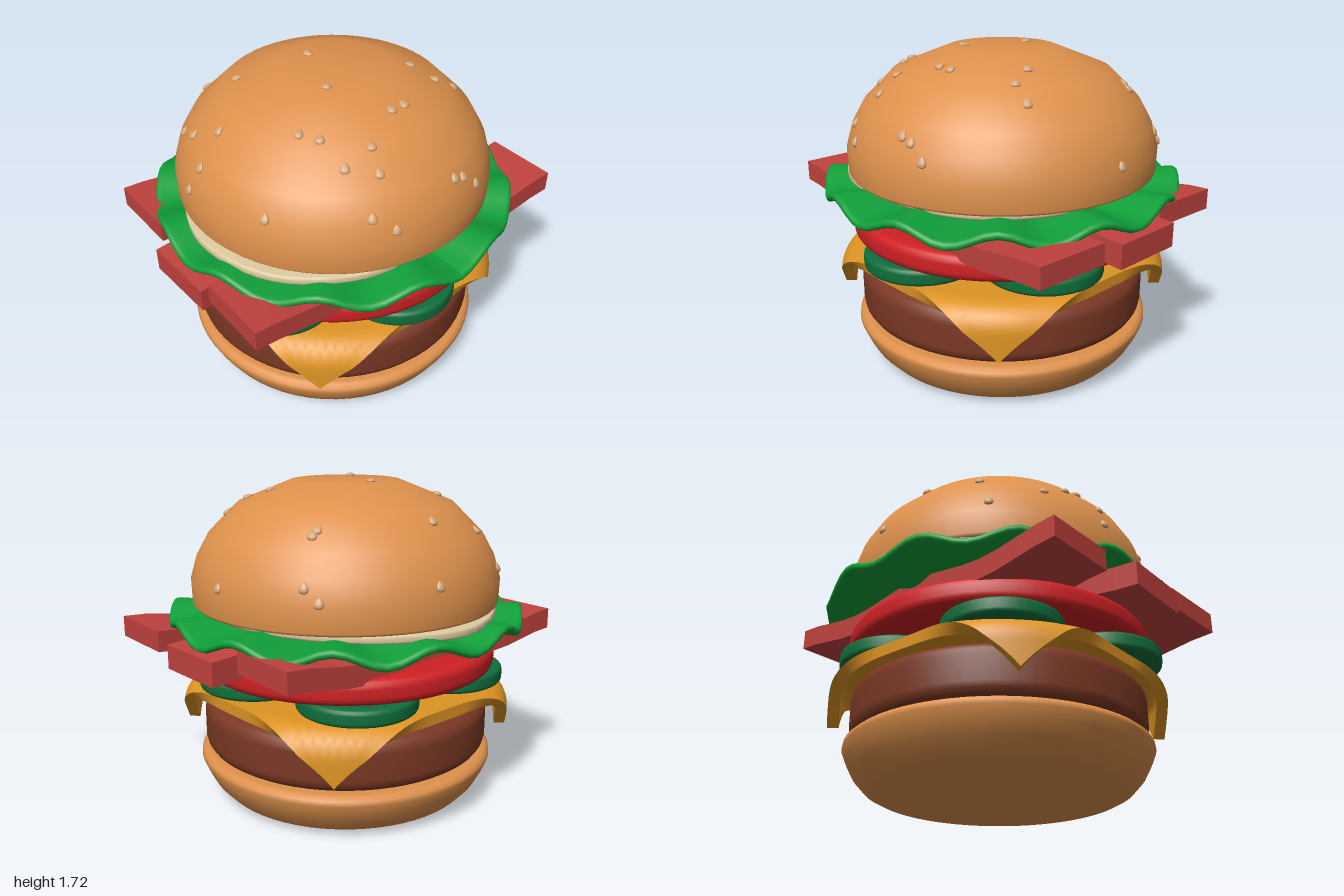
import * as THREE from 'three';
import { toCreasedNormals } from 'three/addons/utils/BufferGeometryUtils.js';

const mat = (name, color) => {
  const m = new THREE.MeshStandardMaterial({ color });
  m.name = name;
  return m;
};
const lathe = (pts, seg = 64) =>
  new THREE.LatheGeometry(pts.map(([x, y]) => new THREE.Vector2(x, y)), seg);

// Flat disc with a rounded rim; extra points next to the rim keep the faces flat
function roundDisc(r, y0, y1, bevel, seg = 64) {
  const b = Math.min(bevel, (y1 - y0) / 2), pts = [[0, y0], [r - b - 0.02, y0]];
  for (let i = 0; i <= 4; i++) {
    const a = (i / 4) * Math.PI / 2;
    pts.push([r - b + b * Math.sin(a), y0 + b - b * Math.cos(a)]);
  }
  for (let i = 0; i <= 4; i++) {
    const a = (i / 4) * Math.PI / 2;
    const p = [r - b + b * Math.cos(a), y1 - b + b * Math.sin(a)];
    if (i > 0 || y1 - y0 > 2 * b + 1e-4) pts.push(p);
  }
  pts.push([r - b - 0.02, y1], [0, y1]);
  return lathe(pts, seg);
}

// Move every vertex of a geometry by a rule
function deform(geo, rule) {
  const p = geo.attributes.position, v = new THREE.Vector3();
  for (let i = 0; i < p.count; i++) {
    rule(v.fromBufferAttribute(p, i));
    p.setXYZ(i, v.x, v.y, v.z);
  }
  geo.computeVertexNormals();
  return geo;
}

const DOME = [[0.83, 1.2], [0.795, 1.32], [0.73, 1.435], [0.575, 1.59], [0.29, 1.705], [0, 1.705]];

// Height and slope of the dome at a given radius
function domeAt(r) {
  for (let i = 0; i < DOME.length - 1; i++) {
    const [r0, y0] = DOME[i], [r1, y1] = DOME[i + 1];
    if (r >= r1) {
      const t = (r - r0) / (r1 - r0);
      return { y: y0 + t * (y1 - y0), dr: r0 - r1, dy: y1 - y0 };
    }
  }
}

// Sesame seeds as x, z pairs on the dome
const SEEDS = [
  [-0.47, -0.66], [-0.36, -0.6], [-0.01, -0.62], [0.12, -0.8], [0.63, -0.53], [0.66, -0.46],
  [0.51, -0.38], [0.54, -0.38], [-0.63, -0.42], [-0.35, -0.33], [-0.66, -0.28], [-0.01, -0.18],
  [-0.62, -0.11], [-0.8, -0.14], [-0.75, -0.1], [-0.15, 0.13], [0.36, 0.18], [0.41, 0.31],
  [0.52, 0.34], [-0.43, 0.26], [-0.38, 0.35], [-0.71, 0.35], [0, 0.42], [0.08, 0.42],
  [-0.37, 0.51], [-0.22, 0.52], [-0.25, 0.61], [-0.36, 0.69], [-0.27, 0.76], [0.11, 0.75],
  [0.17, 0.75], [0.26, 0.76], [0.82, 0],
];

export function createModel() {
  const group = new THREE.Group();
  const bun = mat('toasted bun', 0xde914c);
  const seedMat = mat('sesame', 0xd6a577);
  const meat = mat('grilled meat', 0x7a3824);
  const cheeseMat = mat('cheese', 0xde9424);
  const pickleMat = mat('pickle green', 0x0f6e3c);
  const tomatoMat = mat('tomato red', 0xcf2024);
  const baconMat = mat('bacon', 0xc0423e);
  const lettuceMat = mat('lettuce green', 0x119f3a);
  const sauceMat = mat('cream sauce', 0xdcc9a0);
  const add = (name, geo, material, parent = group) => {
    const mesh = new THREE.Mesh(geo, material);
    mesh.name = name;
    parent.add(mesh);
    return mesh;
  };

  // Bottom bun and patty
  add('bottomBun', lathe([[0, 0], [0.62, 0], [0.65, 0.004], [0.7, 0.03], [0.755, 0.09], [0.79, 0.155],
    [0.813, 0.21], [0.81, 0.235], [0.79, 0.252], [0.765, 0.256], [0, 0.256]]), bun);
  add('patty', roundDisc(0.785, 0.256, 0.54, 0.075), meat);

  // Square cheese slice whose corners bend down over the patty
  const R0 = 0.77, bend = 0.1;
  const cheese = deform(new THREE.BoxGeometry(1.52, 0.06, 1.52, 44, 1, 44), (v) => {
    const r = Math.hypot(v.x, v.z), h = v.y;
    const s = Math.max(0, r - R0), a = Math.min(s / bend, Math.PI / 2);
    const rest = Math.max(0, s - bend * Math.PI / 2);
    const k = r > R0 ? (R0 + (bend + h) * Math.sin(a)) / r : 1;
    v.set(v.x * k, 0.595 - bend + (bend + h) * Math.cos(a) - rest, v.z * k);
  });
  add('cheese', toCreasedNormals(cheese, 0.8), cheeseMat);

  // Ring of pickle slices
  const pickles = new THREE.Group();
  pickles.name = 'pickles';
  group.add(pickles);
  const slice = roundDisc(0.31, 0.63, 0.72, 0.025, 40);
  for (const [x, z] of [[-0.03, 0.54], [0.48, 0.17], [0.32, -0.45], [-0.36, -0.42], [-0.54, 0.2]])
    add('pickleSlice', slice, pickleMat, pickles).position.set(x, 0, z);

  add('tomato', roundDisc(0.815, 0.72, 0.852, 0.045), tomatoMat);

  // Wavy bacon strips: length, centre z, yaw, wave sign, thickness
  for (const [len, z, yaw, wave, thick] of [[1.79, -0.475, -0.038, 1, 0.11], [2, 0, 0, -1, 0.125], [1.96, 0.465, -0.046, 1, 0.11]]) {
    const geo = deform(new THREE.BoxGeometry(len, thick, 0.4, 16, 1, 1), (v) => {
      v.y += 0.025 * wave * Math.cos((v.x / len) * 4 * Math.PI);
    });
    const strip = add('baconStrip', toCreasedNormals(geo, 0.6), baconMat);
    strip.position.set(0, 0.906, z);
    strip.rotation.y = yaw;
  }

  // Lettuce with a ruffled rim
  const lettuce = deform(roundDisc(0.957, 0.968, 1.012, 0.022, 96), (v) => {
    const r = Math.hypot(v.x, v.z) / 0.957;
    v.y += 0.036 * r * r * Math.cos(12 * Math.atan2(v.x, v.z) + Math.PI);
  });
  add('lettuce', lettuce, lettuceMat);

  // Uneven puddle of sauce, given as radii every 30 degrees from +x towards +z
  const radii = [0.73, 0.75, 0.76, 0.75, 0.82, 0.87, 0.86, 0.8, 0.82, 0.87, 0.8, 0.74];
  const outline = new THREE.CatmullRomCurve3(radii.map((r, i) => {
    const a = (i * Math.PI) / 6;
    return new THREE.Vector3((r - 0.012) * Math.cos(a), (r - 0.012) * Math.sin(a), 0);
  }), true).getPoints(72).slice(0, 72).map((p) => new THREE.Vector2(p.x, p.y));
  const sauce = new THREE.ExtrudeGeometry(new THREE.Shape(outline),
    { depth: 0.02, bevelThickness: 0.012, bevelSize: 0.012, bevelSegments: 3 });
  sauce.rotateX(Math.PI / 2).translate(0, 1.052, 0);
  add('sauce', toCreasedNormals(sauce, 0.7), sauceMat);

  // Top bun
  add('topBun', lathe([[0, 1.062], [0.79, 1.062], [0.815, 1.066], [0.826, 1.08], ...DOME]), bun);

  // Teardrop seeds lying on the dome, tips uphill
  const seeds = new THREE.Group();
  seeds.name = 'seeds';
  group.add(seeds);
  const seedGeo = deform(new THREE.SphereGeometry(1, 12, 8), (v) => {
    const taper = 1 - 0.4 * v.y;
    v.set(v.x * 0.023 * taper, v.y * 0.028, v.z * 0.013 * taper);
  });
  const basis = new THREE.Matrix4();
  for (const [x, z] of SEEDS) {
    const r = Math.hypot(x, z), { y, dr, dy } = domeAt(r);
    const uphill = new THREE.Vector3((-x / r) * dr, dy, (-z / r) * dr).normalize();
    const side = new THREE.Vector3(z / r, 0, -x / r);
    const normal = new THREE.Vector3().crossVectors(side, uphill);
    const seed = add('seed', seedGeo, seedMat, seeds);
    seed.position.set(x, y, z).addScaledVector(normal, 0.003);
    seed.quaternion.setFromRotationMatrix(basis.makeBasis(side, uphill, normal));
  }
  return group;
}
